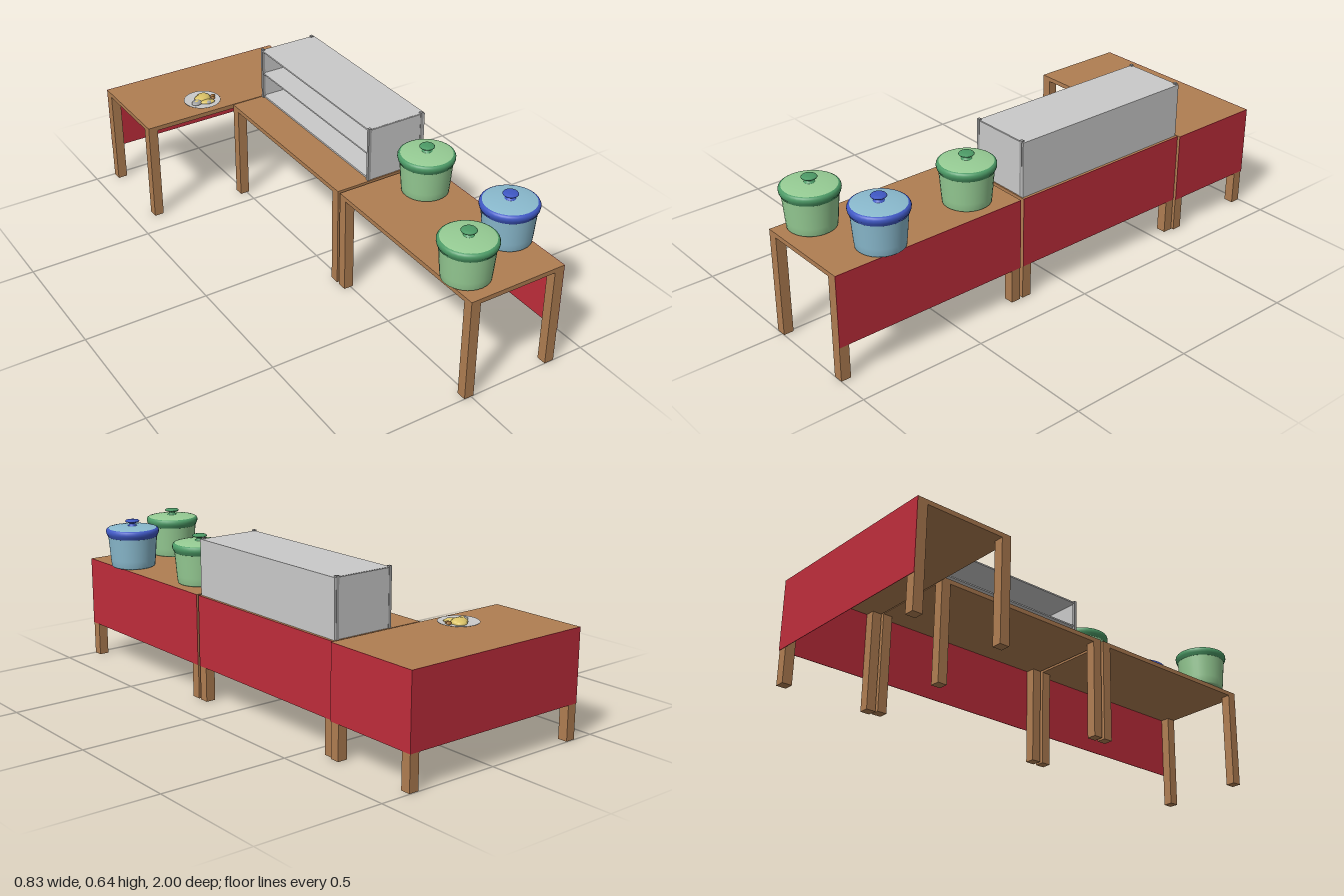
import * as THREE from 'three';

const mat = (name, color, side = THREE.FrontSide) => {
  const m = new THREE.MeshStandardMaterial({ color, side });
  m.name = name;
  return m;
};

export function createModel() {
  const wood = mat('wood', 0xb07e52);
  const red = mat('red cloth', 0xbf2d3b);
  const metal = mat('light metal', 0xcacaca);
  const post = mat('post metal', 0xa0a0a0);
  const green = mat('pale green', 0x96cc94, THREE.DoubleSide);
  const darkGreen = mat('dark green', 0x4c9a66);
  const blue = mat('pale blue', 0x8abace, THREE.DoubleSide);
  const darkBlue = mat('dark blue', 0x3f58c4);
  const yellow = mat('yellow food', 0xdcc468);
  const brown = mat('brown food', 0x9a6a34);

  const model = new THREE.Group();
  model.name = 'buffetCounter';

  const add = (parent, name, geometry, material, x = 0, y = 0, z = 0) => {
    const mesh = new THREE.Mesh(geometry, material);
    mesh.name = name;
    mesh.position.set(x, y, z);
    parent.add(mesh);
    return mesh;
  };
  // Box given by its minimum and maximum corners
  const box = (parent, name, material, x0, x1, y0, y1, z0, z1) =>
    add(parent, name, new THREE.BoxGeometry(x1 - x0, y1 - y0, z1 - z0), material,
      (x0 + x1) / 2, (y0 + y1) / 2, (z0 + z1) / 2);
  const group = (name, x = 0, y = 0, z = 0) => {
    const g = new THREE.Group();
    g.name = name;
    g.position.set(x, y, z);
    model.add(g);
    return g;
  };

  // Tables: top, four legs and a thin red modesty panel on the right side
  const TOP = 0.416, LEG = 0.039, PANEL = 0.136;
  function table(name, x0, x1, z0, z1) {
    const g = group(name);
    box(g, 'tableTop', wood, x0, x1, 0.398, TOP, z0, z1);
    for (const x of [x0, x1 - LEG])
      for (const z of [z0, z1 - LEG])
        box(g, 'leg', wood, x, x + LEG, 0, 0.398, z, z + LEG);
    box(g, 'sidePanel', red, x1, x1 + 0.002, PANEL, TOP, z0, z1);
    return g;
  }
  table('frontTable', -0.028, 0.371, 0.207, 1);
  table('middleTable', -0.028, 0.371, -0.6, 0.194);
  const backTable = table('backTable', -0.415, 0.38, -0.998, -0.604);
  box(backTable, 'backPanel', red, -0.415, 0.382, PANEL, TOP, -1, -0.998);

  // Serving case, open on the left side, with an inner shelf
  const unit = group('servingCase');
  const Z0 = -0.598, Z1 = 0.19;
  box(unit, 'caseTop', metal, 0.11, 0.36, 0.627, 0.633, Z0 + 0.004, Z1 - 0.004);
  box(unit, 'caseShelf', metal, 0.114, 0.356, 0.522, 0.528, Z0 + 0.004, Z1 - 0.004);
  box(unit, 'caseFloor', metal, 0.114, 0.356, 0.417, 0.424, Z0 + 0.004, Z1 - 0.004);
  box(unit, 'caseSide', metal, 0.356, 0.362, TOP, 0.633, Z0, Z1);
  for (const z of [Z0, Z1 - 0.006]) {
    box(unit, 'caseEnd', metal, 0.114, 0.356, 0.417, 0.632, z, z + 0.006);
    for (const x of [0.108, 0.343]) {
      const pz = z < 0 ? z - 0.001 : z - 0.005;
      box(unit, 'cornerPost', post, x, x + 0.012, TOP, 0.638, pz, pz + 0.012);
    }
  }

  // Lidded pots, turned from profiles
  const lathe = (pts, seg = 32) =>
    new THREE.LatheGeometry(pts.map(([r, y]) => new THREE.Vector2(r, y)), seg);
  const bodyGeo = lathe([[0, 0.002], [0.084, 0.002], [0.089, 0.006], [0.092, 0.035],
    [0.096, 0.085], [0.1, 0.132]]);
  const rimGeo = lathe([[0.098, 0.126], [0.102, 0.129], [0.103, 0.135], [0.106, 0.138],
    [0.108, 0.146], [0.108, 0.153], [0.105, 0.159], [0.1, 0.162], [0.098, 0.162]]);
  const lidGeo = lathe([[0.101, 0.161], [0.09, 0.164], [0.06, 0.168], [0.03, 0.17], [0, 0.171]]);
  const knobGeo = lathe([[0.022, 0.169], [0.014, 0.174], [0.012, 0.18], [0.018, 0.183],
    [0.027, 0.186], [0.029, 0.189], [0.026, 0.193], [0.014, 0.195], [0, 0.195]], 24);
  function pot(name, x, z, main, trim) {
    const g = group(name, x, TOP, z);
    add(g, 'potBody', bodyGeo, main);
    add(g, 'potRim', rimGeo, trim);
    add(g, 'potLid', lidGeo, main);
    add(g, 'lidKnob', knobGeo, trim);
  }
  pot('greenPotFront', 0.045, 0.872, green, darkGreen);
  pot('greenPotRear', 0.252, 0.357, green, darkGreen);
  pot('bluePot', 0.305, 0.77, blue, darkBlue);

  // Plate of food
  const dish = group('plateOfFood', -0.121, TOP, -0.699);
  add(dish, 'plate', lathe([[0, 0.001], [0.05, 0.001], [0.076, 0.006], [0.075, 0.0075],
    [0.052, 0.004], [0, 0.004]]), metal);
  const blob = (name, m, x, z, rx, ry, rz, turn = 0) => {
    const b = add(dish, name, new THREE.SphereGeometry(1, 12, 8), m, x, 0.006, z);
    b.scale.set(rx, ry, rz);
    b.rotation.y = turn;
  };
  blob('mash', yellow, 0.005, -0.008, 0.04, 0.016, 0.03, 0.4);
  blob('mash', yellow, 0.016, -0.028, 0.026, 0.011, 0.02);
  blob('mash', yellow, 0.008, 0.026, 0.034, 0.008, 0.018, -0.3);
  blob('slice', post, -0.03, 0.012, 0.028, 0.01, 0.02, 0.5);
  blob('sliceCentre', yellow, -0.032, 0.014, 0.016, 0.0115, 0.011, 0.5);
  blob('slice', post, 0.012, 0.036, 0.014, 0.008, 0.01);
  blob('morsel', brown, 0.05, -0.002, 0.013, 0.01, 0.009, 0.4);
  blob('morsel', brown, 0.044, 0.012, 0.009, 0.007, 0.008);

  return model;
}
